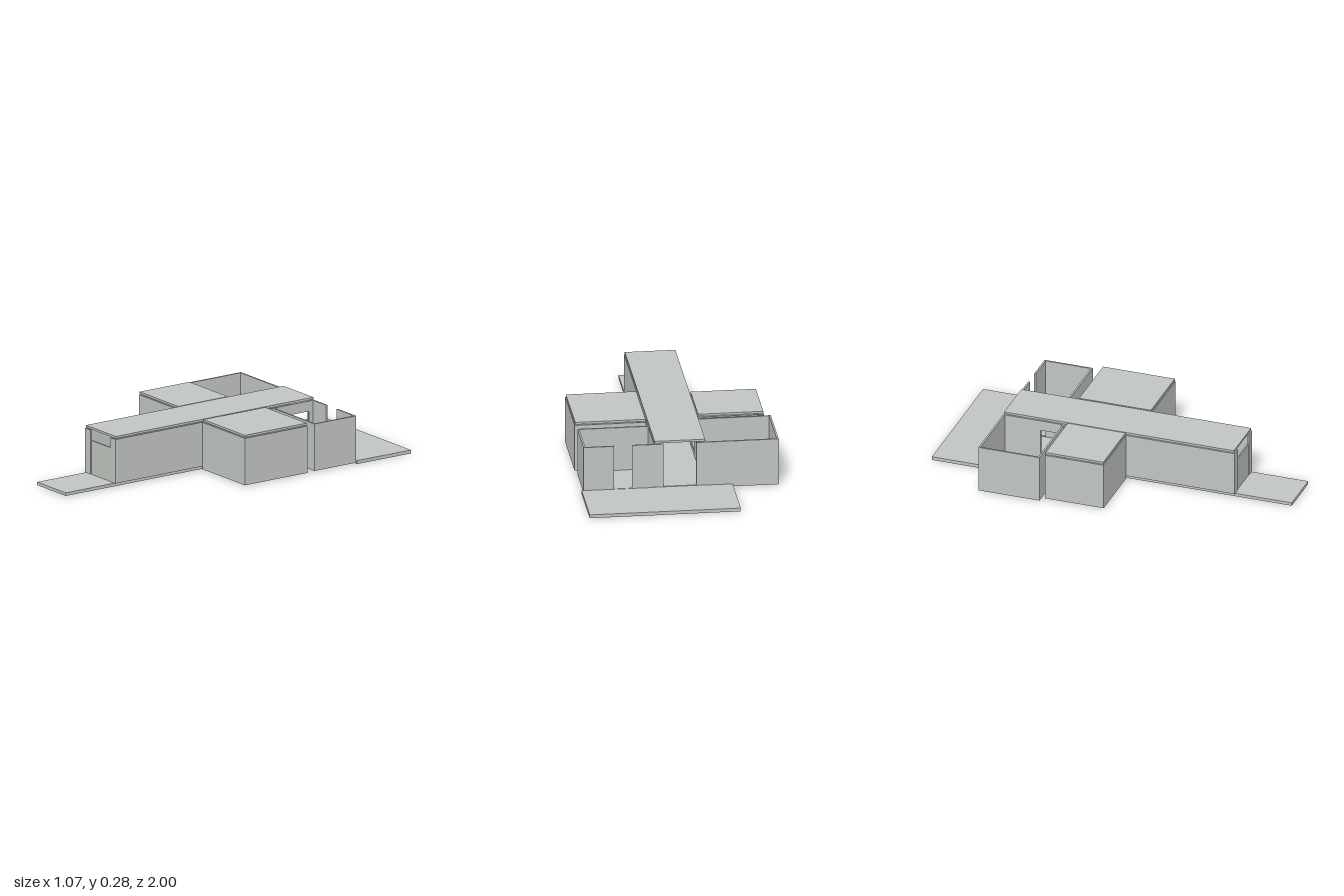
import * as THREE from 'three';

const grey = new THREE.MeshStandardMaterial({ color: 0xc0c4c3 });
grey.name = 'concreteGrey';
const doorGrey = new THREE.MeshStandardMaterial({ color: 0xbec4be });
doorGrey.name = 'doorGrey';

const T = 0.01;              // wall thickness
const Y0 = 0.021, Y1 = 0.267; // wall bottom and top
const DOOR = 0.21;           // top of door openings

// Box from its min and max corners
function box(parent, name, x0, x1, y0, y1, z0, z1, mat = grey) {
  const m = new THREE.Mesh(new THREE.BoxGeometry(x1 - x0, y1 - y0, z1 - z0), mat);
  m.position.set((x0 + x1) / 2, (y0 + y1) / 2, (z0 + z1) / 2);
  m.name = name;
  parent.add(m);
  return m;
}

// Long wall running in z, with doorways given as [z0, z1] in rising order
function wallWithDoors(parent, name, x, z0, z1, doors) {
  let z = z0;
  for (const [a, b] of doors) {
    box(parent, name, x, x + T, Y0, Y1, z, a);
    box(parent, name + 'Lintel', x, x + T, DOOR, Y1, a, b);
    z = b;
  }
  box(parent, name, x, x + T, Y0, Y1, z, z1);
}

// Side room: floor, walls away from the corridor, and an optional roof.
// backSegments lists the [x0, x1] pieces of the back wall.
function room(name, x0, x1, z0, z1, roofed, backSegments = [[x0, x1]]) {
  const g = new THREE.Group();
  g.name = name;
  box(g, 'floor', x0, x1, 0.005, Y0, z0, z1);
  const outer = x0 < 0 ? x0 : x1 - T;
  box(g, 'outerWall', outer, outer + T, Y0, Y1, z0, z1);
  box(g, 'frontWall', x0, x1, Y0, Y1, z1 - T, z1);
  for (const [a, b] of backSegments) box(g, 'backWall', a, b, Y0, Y1, z0, z0 + T);
  if (roofed) box(g, 'roof', x0 + 0.003, x1 - 0.003, 0.271, 0.283, z0 + 0.003, z1 - 0.003);
  return g;
}

export function createModel() {
  const model = new THREE.Group();
  model.name = 'pavilionHouse';

  // Corridor with its walkway out to the front
  const hall = new THREE.Group();
  hall.name = 'corridor';
  box(hall, 'walkwayFloor', -0.131, 0.131, 0.004, Y0, -0.64, 1);
  wallWithDoors(hall, 'rightWall', -0.14, -0.645, 0.677, [[-0.43, -0.32], [-0.2, -0.09]]);
  wallWithDoors(hall, 'leftWall', 0.13, -0.645, 0.677, [[-0.61, -0.5], [-0.2, -0.09]]);
  for (const s of [-1, 1]) {
    const [a, b] = s < 0 ? [-0.13, -0.088] : [0.09, 0.13];
    box(hall, 'frontReturn', a, b, Y0, Y1, 0.667, 0.677);
    box(hall, 'backReturn', a, b, Y0, Y1, -0.645, -0.635);
  }
  box(hall, 'frontDoor', -0.085, 0.088, Y0, DOOR, 0.666, 0.674, doorGrey);
  box(hall, 'roof', -0.137, 0.137, 0.271, 0.283, -0.64, 0.672);
  // Ceiling lights
  for (let i = 0; i < 5; i++) {
    const z = 0.51 - i * 0.245;
    box(hall, 'ceilingLight', -0.043, 0.047, 0.268, 0.272, z - 0.01, z + 0.01);
  }
  model.add(hall);

  // Roofed rooms and open courts on both sides
  model.add(room('rightRoom', -0.5, -0.14, -0.278, 0.058, true));
  model.add(room('leftRoom', 0.143, 0.53, -0.316, 0.1, true));
  model.add(room('rightCourt', -0.535, -0.14, -0.645, -0.296, false));
  model.add(room('leftCourt', 0.14, 0.522, -0.645, -0.368, false, [[0.14, 0.26], [0.357, 0.522]]));

  // Back terrace
  box(model, 'terrace', -0.285, 0.533, 0, 0.019, -1, -0.643);
  return model;
}
